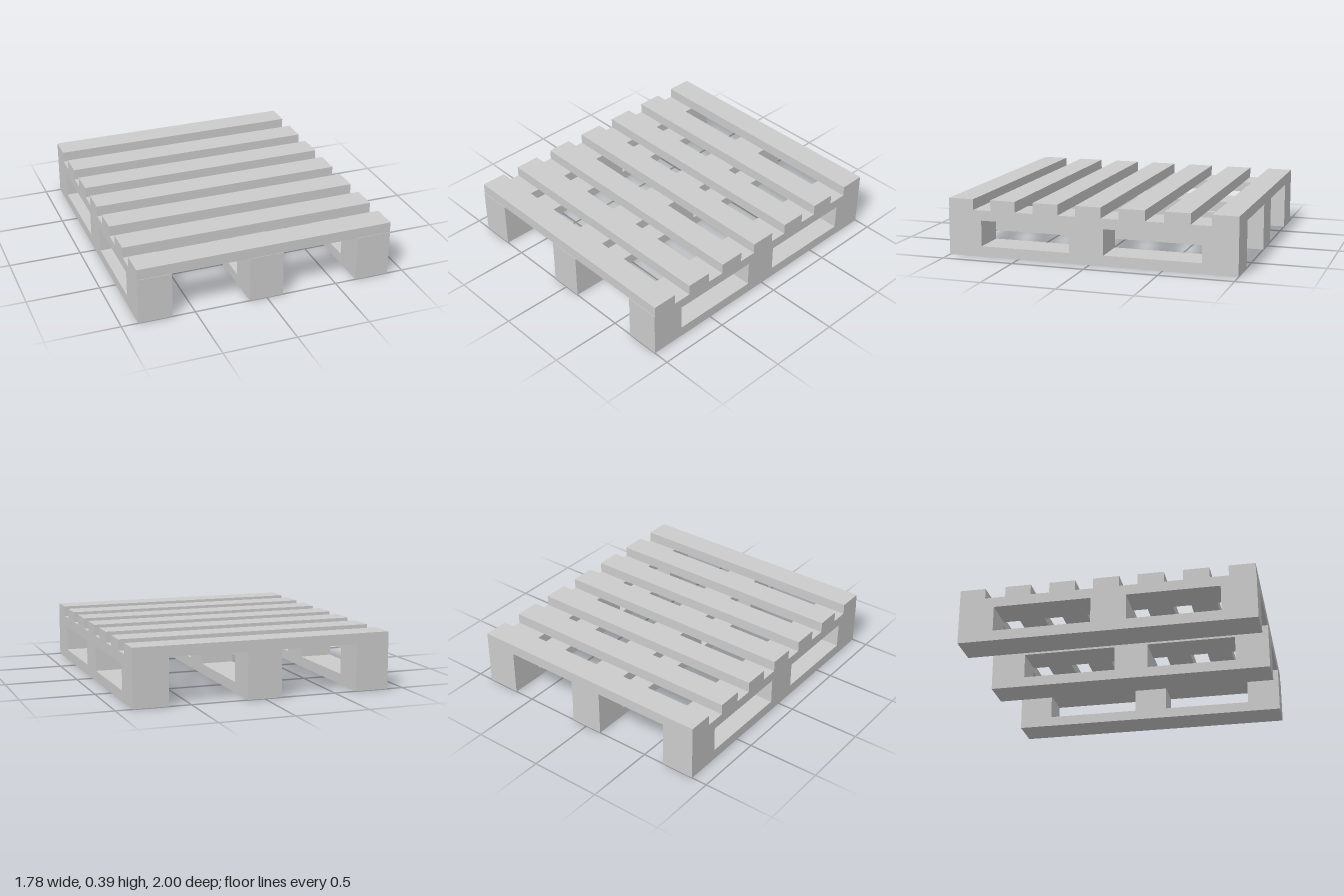
import * as THREE from 'three';

export function createModel() {
  const model = new THREE.Group();
  const material = new THREE.MeshStandardMaterial({ color: 0xcccccc, flatShading: true });

  // Box given by its extents along each axis
  function board(parent, name, [x0, x1], [y0, y1], [z0, z1]) {
    const mesh = new THREE.Mesh(new THREE.BoxGeometry(x1 - x0, y1 - y0, z1 - z0), material);
    mesh.position.set((x0 + x1) / 2, (y0 + y1) / 2, (z0 + z1) / 2);
    mesh.name = name;
    parent.add(mesh);
  }

  // Three runners: bottom board, three spacer blocks, upper board
  const runners = { rightRunner: [-0.888, -0.655], middleRunner: [-0.12, 0.115], leftRunner: [0.648, 0.888] };
  for (const [name, x] of Object.entries(runners)) {
    const runner = new THREE.Group();
    runner.name = name;
    board(runner, 'bottomBoard', x, [0, 0.072], [-1, 1]);
    for (const z of [[-1, -0.76], [-0.098, 0.14], [0.765, 1]]) {
      board(runner, 'spacerBlock', x, [0.072, 0.248], z);
    }
    board(runner, 'upperBoard', x, [0.248, 0.318], [-1, 1]);
    model.add(runner);
  }

  // Seven deck slats across the runners
  const deck = new THREE.Group();
  deck.name = 'deck';
  for (const z of [-0.912, -0.597, -0.293, 0.007, 0.306, 0.608, 0.909]) {
    board(deck, 'deckSlat', [-0.888, 0.888], [0.318, 0.391], [z - 0.088, z + 0.088]);
  }
  model.add(deck);

  return model;
}
